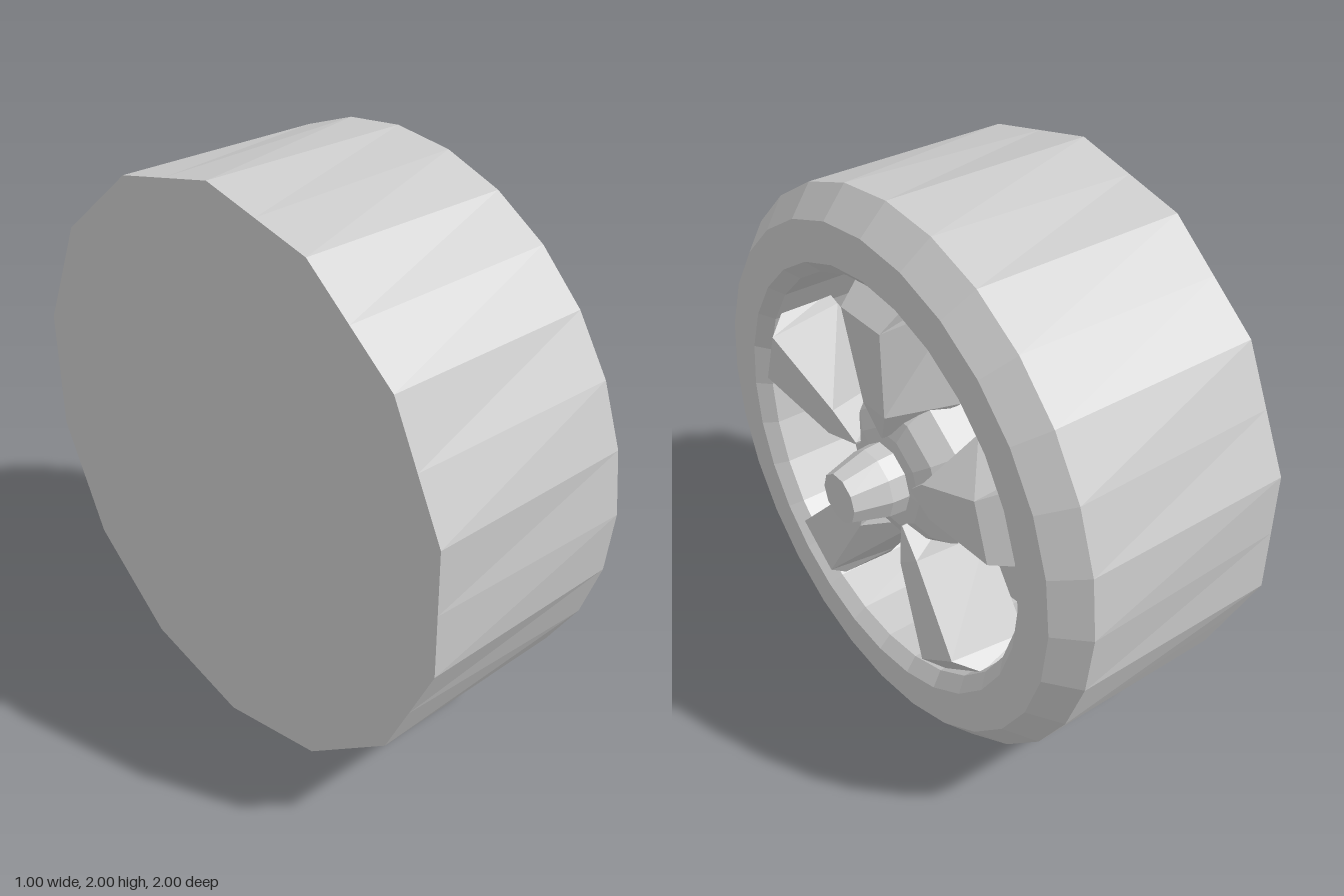
import * as THREE from 'three';

const grey = new THREE.MeshStandardMaterial({ color: 0xcccccc, flatShading: true });

// Turned part around the x axis; profile is [radius, x] pairs
function turned(name, profile, sides) {
  const geo = new THREE.LatheGeometry(profile.map(([r, x]) => new THREE.Vector2(r, x)), sides);
  geo.rotateZ(-Math.PI / 2);
  const mesh = new THREE.Mesh(geo, grey);
  mesh.name = name;
  return mesh;
}

// Spoke along +y: each section is a trapezoid [radius of base, radius of top, base half width, top half width, base x, top x]
function spokeGeometry() {
  const sections = [
    [0.72, 0.71, 0.13, 0.125, 0.10, 0.30],
    [0.66, 0.635, 0.13, 0.105, 0.10, 0.38],
    [0.29, 0.29, 0.14, 0.06, 0.10, 0.345],
    [0.17, 0.17, 0.02, 0.004, 0.10, 0.32],
  ];
  const pos = [], idx = [];
  for (const [rb, rt, wb, wt, xb, xt] of sections)
    pos.push(xb, rb, wb, xt, rt, wt, xt, rt, -wt, xb, rb, -wb);
  for (let s = 0; s < sections.length - 1; s++) {
    for (let k = 0; k < 4; k++) {
      const a = s * 4 + k, b = s * 4 + (k + 1) % 4;
      idx.push(a, a + 4, b, b, a + 4, b + 4);
    }
  }
  const e = (sections.length - 1) * 4;
  idx.push(0, 1, 2, 0, 2, 3, e, e + 2, e + 1, e, e + 3, e + 2);
  const geo = new THREE.BufferGeometry();
  geo.setAttribute('position', new THREE.Float32BufferAttribute(pos, 3));
  geo.setIndex(idx);
  geo.computeVertexNormals();
  return geo;
}

export function createModel() {
  const wheel = new THREE.Group();
  wheel.name = 'wheel';

  // Tyre with closed back, chamfered front edge and a deep rim well
  const tyre = turned('tyre', [
    [0, -0.5], [1, -0.5], [1, 0.27], [0.905, 0.365], [0.765, 0.365],
    [0.72, 0.32], [0.72, -0.15], [0, -0.15],
  ], 28);
  // The back edge has half as many sides: pull every other vertex onto its chord
  const p = tyre.geometry.attributes.position;
  for (let i = 0; i < p.count; i++) {
    const ring = Math.floor(i / 8);
    if (i % 8 === 1 && ring % 2 === 0) {
      const f = Math.cos(Math.PI / 14);
      p.setY(i, p.getY(i) * f);
      p.setZ(i, p.getZ(i) * f);
    }
  }
  wheel.add(tyre);

  // Hub dome and its protruding cap
  wheel.add(turned('hub', [[0, -0.15], [0.3, -0.15], [0.31, 0.2], [0.25, 0.27], [0.18, 0.3], [0, 0.31]], 10));
  wheel.add(turned('hubCap', [[0, 0.28], [0.13, 0.28], [0.125, 0.365], [0.09, 0.495], [0, 0.495]], 10));

  // Five spokes
  const geo = spokeGeometry();
  for (let i = 0; i < 5; i++) {
    const spoke = new THREE.Mesh(geo, grey);
    spoke.name = 'spoke' + (i + 1);
    spoke.rotation.x = i * Math.PI * 2 / 5;
    wheel.add(spoke);
  }

  wheel.position.y = 1;
  const model = new THREE.Group();
  model.name = 'model';
  model.add(wheel);
  return model;
}
